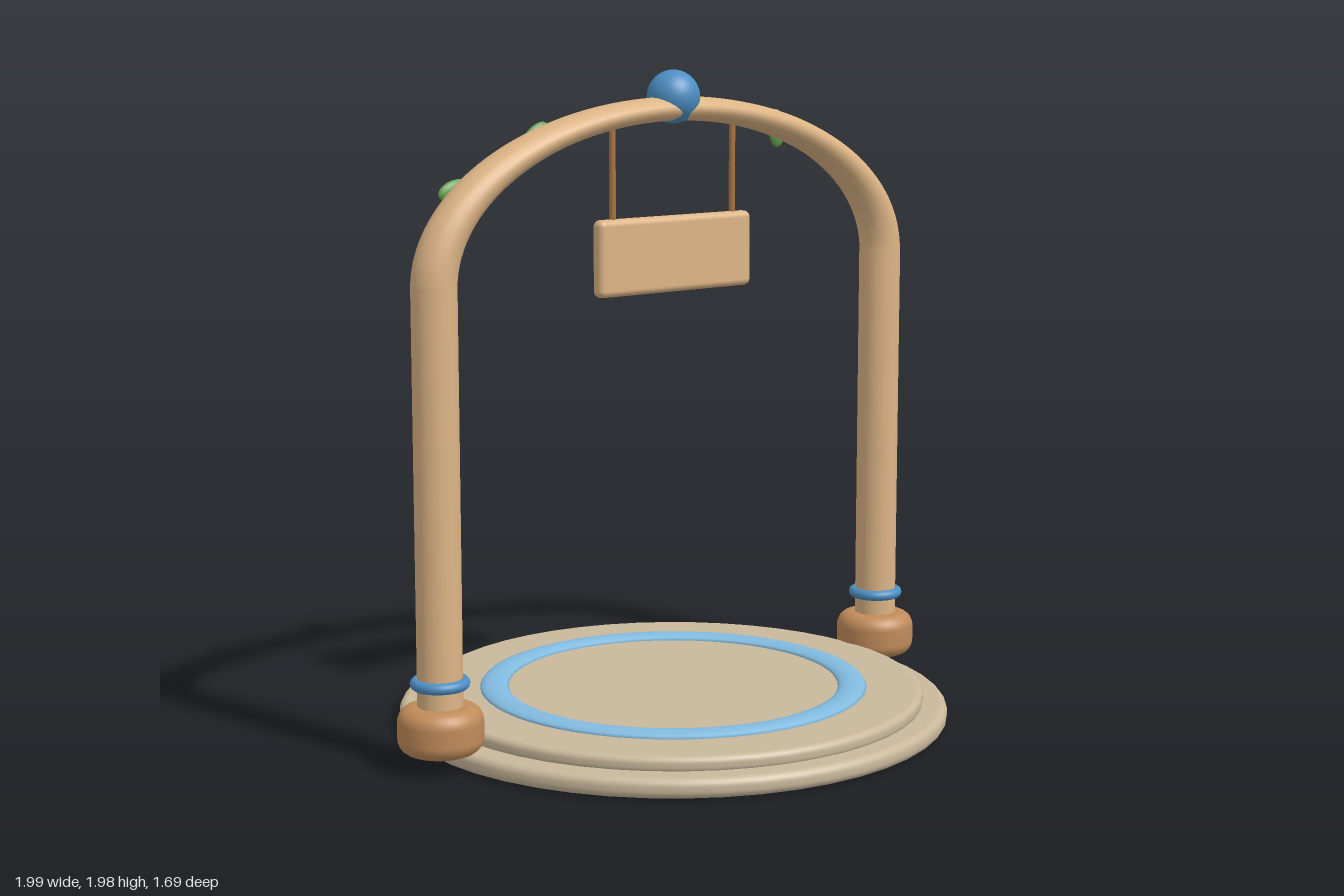
import * as THREE from 'three';
import { RoundedBoxGeometry } from 'three/addons/geometries/RoundedBoxGeometry.js';

const material = (name, color) => {
  const m = new THREE.MeshStandardMaterial({ color });
  m.name = name;
  return m;
};

// Closed disc with rounded rims, standing between y0 and y1
function roundedDisc(radius, y0, y1, bevel, segments = 48) {
  const pts = [new THREE.Vector2(0, y0)];
  const corner = (cy, start) => {
    for (let i = 0; i <= 6; i++) {
      const a = start + (i / 6) * Math.PI / 2;
      pts.push(new THREE.Vector2(radius - bevel + bevel * Math.cos(a), cy + bevel * Math.sin(a)));
    }
  };
  corner(y0 + bevel, -Math.PI / 2);
  corner(y1 - bevel, 0);
  pts.push(new THREE.Vector2(0, y1));
  return new THREE.LatheGeometry(pts, segments);
}

export function createModel() {
  const model = new THREE.Group();
  model.name = 'gardenArch';

  const stone = material('stone', 0xc9b89b);
  const wood = material('pale wood', 0xdcb485);
  const clay = material('brown wood', 0xc08b5a);
  const rodWood = material('dark wood', 0xa8743f);
  const blue = material('blue', 0x4c8fc4);
  const lightBlue = material('light blue', 0x82bbe0);
  const green = material('leaf green', 0x64a04e);

  const add = (name, geometry, mat, x = 0, y = 0, z = 0) => {
    const mesh = new THREE.Mesh(geometry, mat);
    mesh.name = name;
    mesh.position.set(x, y, z);
    model.add(mesh);
    return mesh;
  };

  // Stepped round base with an inlaid ring
  add('lowerBase', roundedDisc(0.845, 0, 0.06, 0.025), stone);
  add('upperBase', roundedDisc(0.77, 0.05, 0.1, 0.02), stone);
  const ring = new THREE.TorusGeometry(0.553, 0.044, 12, 64).rotateX(Math.PI / 2).scale(1, 0.36, 1);
  add('baseRing', ring, lightBlue, 0, 0.1);

  // Posts with feet and collars
  for (const side of [-1, 1]) {
    const x = side * 0.87;
    const label = side > 0 ? 'left' : 'right';
    add(label + 'Foot', roundedDisc(0.125, 0.05, 0.19, 0.045, 32), clay, x);
    add(label + 'Post', new THREE.CylinderGeometry(0.066, 0.066, 1.27, 32), wood, x, 0.76);
    const collar = new THREE.TorusGeometry(0.07, 0.017, 12, 32).rotateX(Math.PI / 2);
    add(label + 'Collar', collar, blue, x, 0.256);
  }

  // Flattened half ring joining the posts, with a ball on top
  const arch = new THREE.TorusGeometry(0.87, 0.066, 20, 64, Math.PI).scale(1, 0.55, 1);
  add('arch', arch, wood, 0, 1.39);
  add('finial', new THREE.SphereGeometry(0.08, 32, 20), blue, 0, 1.904);

  // Hanging board
  add('signBoard', new RoundedBoxGeometry(0.59, 0.23, 0.05, 4, 0.02), wood, 0, 1.435);
  for (const side of [-1, 1]) {
    add('signRod', new THREE.CylinderGeometry(0.01, 0.01, 0.3, 12), rodWood, side * 0.233, 1.69);
  }

  // Leaves on the back of the arch: x, y, tilt
  const leaves = [[-0.75, 1.655, 0.2], [-0.47, 1.795, 0.7], [0.47, 1.793, 1.65], [0.75, 1.655, 2.4]];
  for (const [x, y, tilt] of leaves) {
    const leaf = new THREE.SphereGeometry(1, 20, 14).scale(0.06, 0.032, 0.017);
    add('leaf', leaf, green, x, y, -0.06).rotation.z = tilt;
  }

  return model;
}
